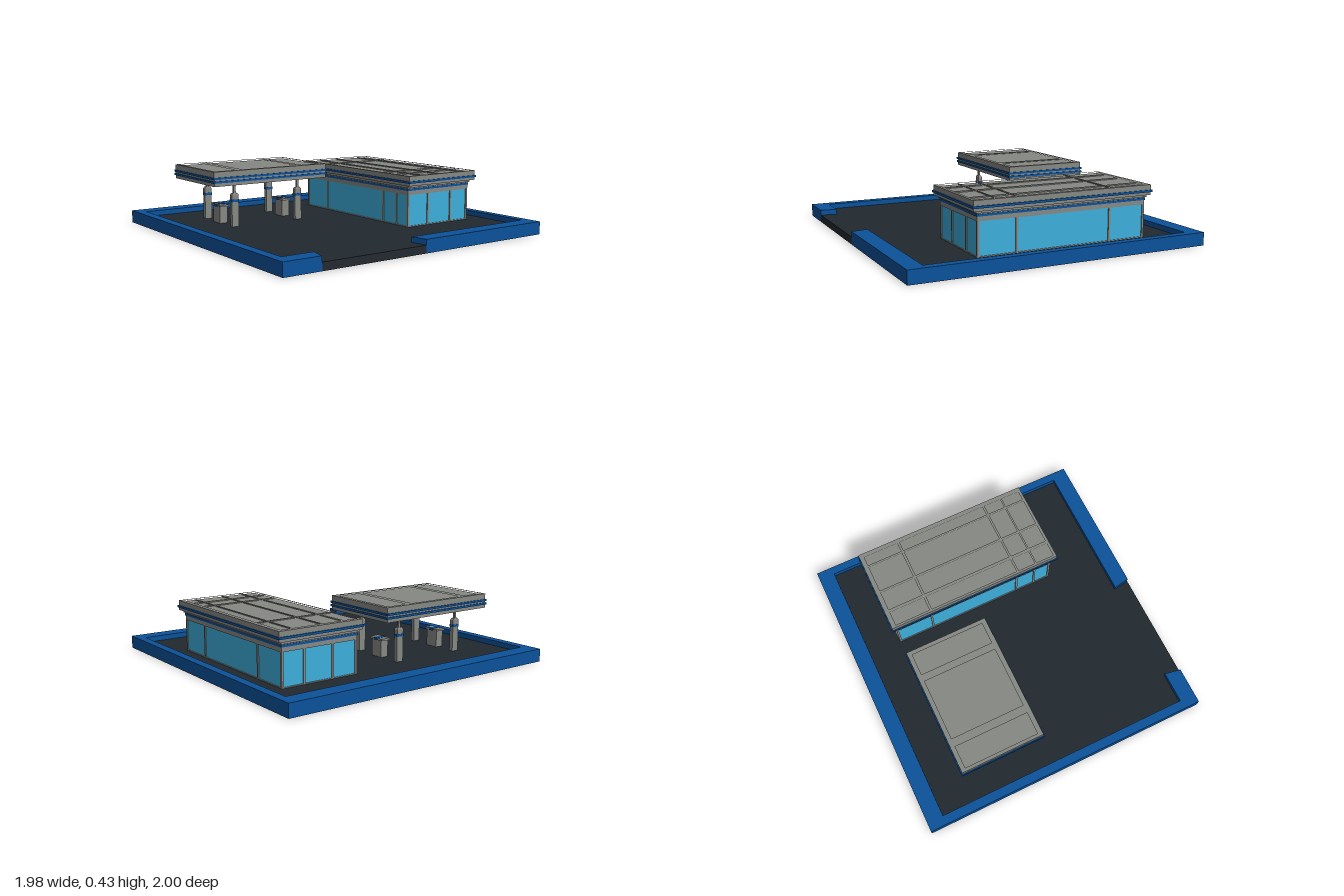
import * as THREE from 'three';

const paint = (color) => new THREE.MeshStandardMaterial({ color });
const GREY = paint(0x868883), BLUE = paint(0x0c529b), ASPHALT = paint(0x22292f), GLASS = paint(0x3daedb);

function add(parent, name, geometry, material) {
  const mesh = new THREE.Mesh(geometry, material);
  mesh.name = name;
  parent.add(mesh);
  return mesh;
}

// Box given by its limits on each axis
function box(parent, name, material, [x0, x1], [y0, y1], [z0, z1]) {
  const mesh = add(parent, name, new THREE.BoxGeometry(x1 - x0, y1 - y0, z1 - z0), material);
  mesh.position.set((x0 + x1) / 2, (y0 + y1) / 2, (z0 + z1) / 2);
  return mesh;
}

// Ground outline of [x, z] points raised from y0 to y1
const outline = (pts) => pts.map(([x, z]) => new THREE.Vector2(x, -z));
function slab(parent, name, material, pts, y0, y1, holes = []) {
  const shape = new THREE.Shape(outline(pts));
  shape.holes = holes.map((h) => new THREE.Path(outline(h)));
  const geo = new THREE.ExtrudeGeometry(shape, { depth: y1 - y0, bevelEnabled: false });
  geo.rotateX(-Math.PI / 2).translate(0, y0, 0);
  return add(parent, name, geo, material);
}

const rect = ([x0, x1], [z0, z1]) => [[x0, z0], [x1, z0], [x1, z1], [x0, z1]];
const grow = ([a, b], d) => [a - d, b + d];

// Roof with a grid of sunken panels and raised stripes around the edge
function roof(parent, xs, zs, y0, y1, cols, rows, stripes, stripeOut) {
  const g = new THREE.Group();
  g.name = 'roof';
  parent.add(g);
  const sunk = y1 - 0.01;
  box(g, 'roofSlab', GREY, xs, [y0, sunk], zs);
  const holes = cols.flatMap((c) => rows.map((r) => rect(c, r)));
  slab(g, 'roofFrame', GREY, rect(xs, zs), sunk, y1, holes);
  for (const s of stripes) box(g, 'roofStripe', BLUE, grow(xs, stripeOut), s, grow(zs, stripeOut));
}

function createLot() {
  const g = new THREE.Group();
  g.name = 'lot';
  box(g, 'underside', ASPHALT, [-0.99, 0.99], [0, 0.002], [-1, 1]);
  const gap = [[0.88, 0.02], [0.99, 0], [0.99, 0.75], [0.88, 0.73]];
  slab(g, 'pavement', ASPHALT,
    [[-0.88, -0.945], [0.88, -0.945], ...gap, [0.88, 0.94], [-0.88, 0.94]], 0.002, 0.05);
  // Kerb wall runs round the lot and opens at the driveway
  slab(g, 'kerbWall', BLUE, [
    [0.99, 0], [0.99, -1], [-0.99, -1], [-0.99, 1], [0.99, 1], [0.99, 0.75], [0.88, 0.73],
    [0.88, 0.94], [-0.88, 0.94], [-0.88, -0.945], [0.88, -0.945], [0.88, 0.02],
  ], 0.002, 0.085);
  return g;
}

function createShop() {
  const g = new THREE.Group();
  g.name = 'shop';
  const xs = [-0.655, 0.5], zs = [-0.82, -0.28], t = 0.014;
  box(g, 'windows', GLASS, grow(xs, -0.006), [0.05, 0.265], grow(zs, -0.006));
  box(g, 'sill', GREY, xs, [0.05, 0.056], zs);
  box(g, 'fascia', GREY, xs, [0.262, 0.312], zs);
  box(g, 'fasciaStripe', BLUE, grow(xs, 0.003), [0.29, 0.304], grow(zs, 0.003));
  box(g, 'cornice', GREY, grow(xs, 0.01), [0.31, 0.326], grow(zs, 0.01));
  // Posts at the corners and between the panes
  const post = (x, z) => box(g, 'windowPost', GREY, [x, x + t], [0.05, 0.265], [z, z + t]);
  const zBack = zs[0], zFront = zs[1] - t, xRight = xs[1] - t;
  for (const x of [xs[0], -0.405, 0.236, xRight]) {
    post(x, zBack);
    post(x, zFront);
  }
  post(0.373, zFront);
  for (const z of [-0.67, -0.466]) {
    post(xs[0], z);
    post(xRight, z);
  }
  roof(g, [-0.68, 0.535], [-0.85, -0.26], 0.325, 0.39,
    [[-0.648, -0.405], [-0.387, 0.238], [0.254, 0.375], [0.388, 0.515]],
    [[-0.82, -0.752], [-0.738, -0.546], [-0.53, -0.396], [-0.375, -0.276]],
    [[0.343, 0.357]], 0.007);
  return g;
}

function createColumn(x, z) {
  const g = new THREE.Group();
  g.name = 'column';
  g.position.set(x, 0, z);
  box(g, 'shaft', GREY, [-0.014, 0.014], [0.05, 0.26], [-0.025, 0.025]);
  box(g, 'shaftStripe', BLUE, [-0.016, 0.016], [0.214, 0.23], [-0.027, 0.027]);
  // Tapered shoulder under the thin pole
  const cap = new THREE.CylinderGeometry(0.7 * Math.SQRT1_2, Math.SQRT1_2, 0.012, 4)
    .rotateY(Math.PI / 4).scale(0.028, 1, 0.05).translate(0, 0.266, 0).toNonIndexed();
  cap.computeVertexNormals();
  add(g, 'shoulder', cap, GREY);
  box(g, 'pole', GREY, [-0.007, 0.007], [0.268, 0.34], [-0.008, 0.008]);
  return g;
}

function createPump(z) {
  const g = new THREE.Group();
  g.name = 'pump';
  g.position.set(-0.388, 0, z);
  box(g, 'pumpBody', GREY, [-0.047, 0.047], [0.05, 0.165], [-0.028, 0.028]);
  box(g, 'pumpCap', GREY, [-0.06, 0.06], [0.162, 0.175], [-0.035, 0.035]);
  box(g, 'pumpStripe', BLUE, [-0.018, 0.018], [0.161, 0.177], [-0.037, 0.037]);
  return g;
}

function createCanopy() {
  const g = new THREE.Group();
  g.name = 'canopy';
  roof(g, [-0.665, -0.105], [-0.053, 0.808], 0.335, 0.43,
    [[-0.635, -0.138]], [[-0.025, 0.123], [0.172, 0.585], [0.64, 0.787]],
    [[0.357, 0.37], [0.38, 0.393]], 0.007);
  for (const z of [0.125, 0.618]) {
    for (const x of [-0.572, -0.193]) g.add(createColumn(x, z));
    g.add(createPump(z));
  }
  return g;
}

export function createModel() {
  const model = new THREE.Group();
  model.name = 'fuelStation';
  model.add(createLot(), createShop(), createCanopy());
  return model;
}
